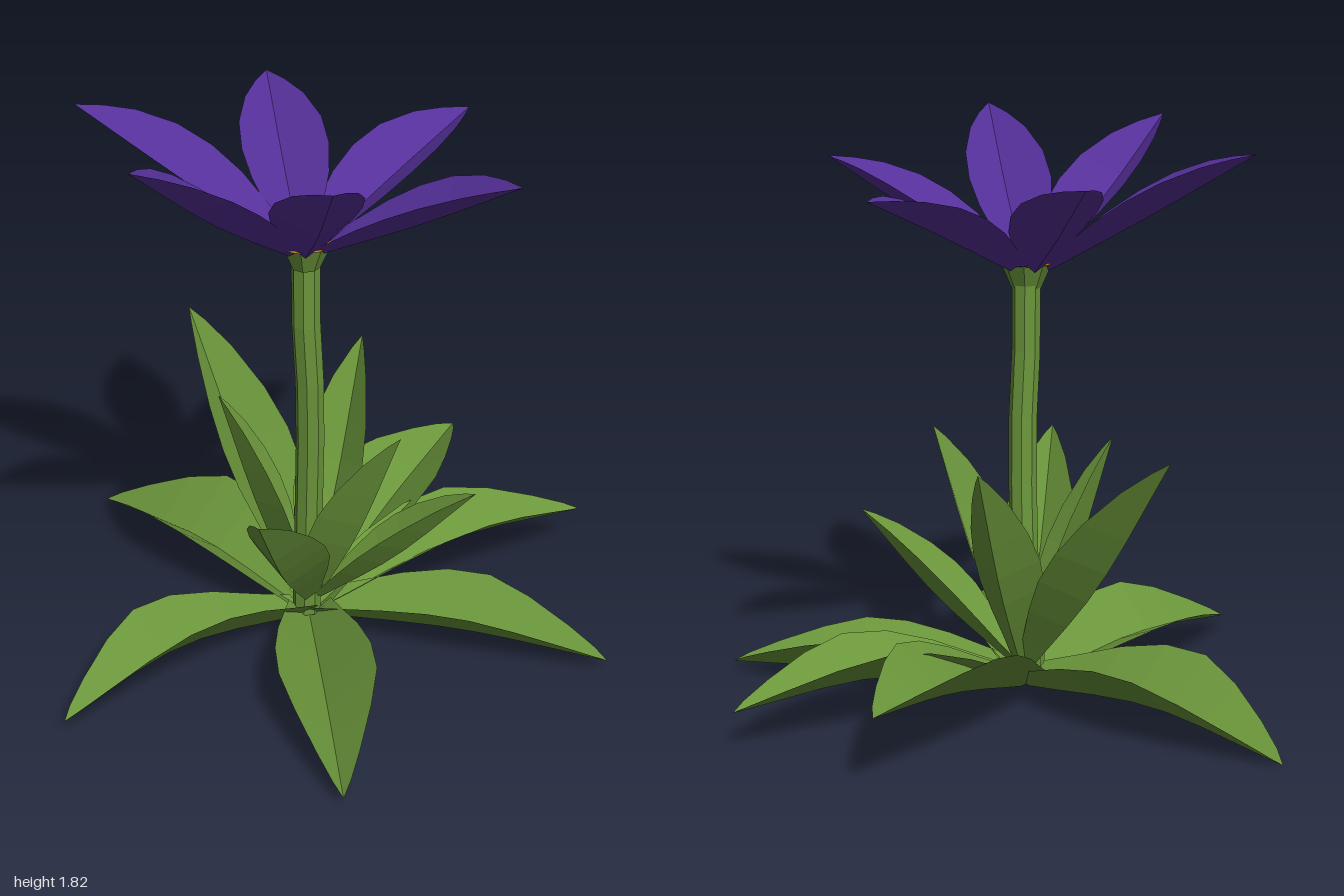
import * as THREE from 'three';

const green = new THREE.MeshStandardMaterial({ color: 0x6b963b, flatShading: true, side: THREE.DoubleSide });
const purple = new THREE.MeshStandardMaterial({ color: 0x55309a, flatShading: true, side: THREE.DoubleSide });
const orange = new THREE.MeshStandardMaterial({ color: 0xd08010, flatShading: true });

// Outline rows: [position along the blade, share of the half width]
const LOWER = [[0, 0.45], [0.12, 0.62], [0.27, 0.84], [0.42, 0.99], [0.56, 1], [0.7, 0.77], [0.85, 0.44], [0.95, 0.18], [1, 0]];
const UPPER = [[0, 0.35], [0.12, 0.5], [0.27, 0.78], [0.42, 0.98], [0.56, 1], [0.7, 0.85], [0.85, 0.52], [0.95, 0.2], [1, 0]];
const PETAL = [[0, 0.42], [0.15, 0.6], [0.32, 0.88], [0.48, 1], [0.64, 0.95], [0.8, 0.68], [0.91, 0.35], [1, 0]];

// A blade folded along its midrib. midY is the midrib height halfway out,
// bow its sideways shift there, roll a turn about the midrib
function blade(name, { base, tip, midY, bow = 0, roll = 0, halfWidth, fold, rows, material }) {
  const a = new THREE.Vector3(...base), c = new THREE.Vector3(...tip);
  const dir = c.clone().sub(a).setY(0).normalize();
  const across = new THREE.Vector3(0, 1, 0).cross(dir);
  const mid = a.clone().lerp(c, 0.5).setY(midY).addScaledVector(across, bow);
  const curve = new THREE.CatmullRomCurve3([a, mid, c]);
  const positions = [], index = [];
  rows.forEach(([t, share], i) => {
    const p = curve.getPoint(t), tangent = curve.getTangent(t);
    const side = across.clone().applyAxisAngle(tangent, roll);
    const normal = tangent.clone().cross(side).normalize();
    for (const s of [-1, 0, 1]) {
      const v = p.clone().addScaledVector(side, s * share * halfWidth)
        .addScaledVector(normal, Math.abs(s) * share * halfWidth * fold);
      positions.push(v.x, v.y, v.z);
    }
    if (i === 0) return;
    for (let j = 0; j < 2; j++) {
      const k = (i - 1) * 3 + j;
      index.push(k, k + 1, k + 4, k, k + 4, k + 3);
    }
  });
  const geometry = new THREE.BufferGeometry();
  geometry.setAttribute('position', new THREE.Float32BufferAttribute(positions, 3));
  geometry.setIndex(index);
  geometry.computeVertexNormals();
  const mesh = new THREE.Mesh(geometry, material);
  mesh.name = name;
  return mesh;
}

// Point a short way out from a centre toward a tip
function rootToward([x, y, z], tip, r) {
  const d = Math.hypot(tip[0] - x, tip[2] - z);
  return [x + (tip[0] - x) / d * r, y, z + (tip[2] - z) / d * r];
}

export function createModel() {
  const group = new THREE.Group();
  const add = (name, geometry, material, x, y, z) => {
    const mesh = new THREE.Mesh(geometry, material);
    mesh.name = name;
    mesh.position.set(x, y, z);
    group.add(mesh);
  };

  // Spreading lower leaves
  const lower = [
    { tip: [-0.18, 0.02, -0.95], midY: 0.085, halfWidth: 0.18, fold: 0.8 },
    { tip: [0.89, 0.25, -0.36], midY: 0.17, halfWidth: 0.17, fold: 0.8 },
    { tip: [1, 0.14, 0.2], midY: 0.16, halfWidth: 0.14, fold: 0.8 },
    { tip: [0.57, 0.05, 0.85], midY: 0.06, bow: 0.02, halfWidth: 0.14, fold: 0.95 },
    { tip: [-0.52, 0.05, 0.94], midY: 0.06, halfWidth: 0.15, fold: 0.95 },
    { tip: [-1, 0.06, 0.16], midY: 0.11, bow: -0.03, roll: 0.2, halfWidth: 0.155, fold: 0.7 },
  ];
  for (const leaf of lower) {
    const base = rootToward([-0.03, 0.04, 0.07], leaf.tip, 0.02);
    group.add(blade('lowerLeaf', { ...leaf, base, rows: LOWER, material: green }));
  }

  // Upright inner leaves: tip, half width
  const upper = [
    [[-0.055, 0.89, -0.58], 0.13],
    [[0.35, 0.84, -0.17], 0.11],
    [[0.29, 0.59, 0.51], 0.1],
    [[0.04, 0.84, 0.45], 0.11],
    [[-0.52, 0.75, 0.51], 0.12],
    [[-0.27, 0.85, -0.08], 0.1],
  ];
  for (const [tip, halfWidth] of upper) {
    const base = rootToward([-0.03, 0.1, 0.07], tip, 0.03);
    const midY = 0.1 + (tip[1] - 0.1) * 0.43;
    group.add(blade('upperLeaf', { base, tip, midY, halfWidth, fold: 0.9, rows: UPPER, material: green }));
  }

  // Gently bent stem and the flared cup under the flower
  const stemPath = new THREE.CatmullRomCurve3([
    [-0.04, 0.06, 0.07], [-0.045, 0.5, 0.09], [-0.055, 0.85, 0.11], [-0.075, 1.15, 0.115], [-0.075, 1.34, 0.115],
  ].map((p) => new THREE.Vector3(...p)));
  add('stem', new THREE.TubeGeometry(stemPath, 6, 0.045, 8), green, 0, 0, 0);
  add('flowerCup', new THREE.CylinderGeometry(0.08, 0.045, 0.08, 8), green, -0.08, 1.36, 0.12);

  // Flower centre
  add('flowerCentre', new THREE.ConeGeometry(0.09, 0.03, 10), orange, -0.09, 1.42, 0.12);

  // Petals: tip, midrib height halfway
  const petals = [
    [[-0.53, 1.76, -0.44], 1.56],
    [[0.17, 1.71, -0.45], 1.53],
    [[0.58, 1.66, 0.06], 1.52],
    [[0.25, 1.71, 0.72], 1.53],
    [[-0.39, 1.84, 0.69], 1.58],
    [[-0.74, 1.82, 0.21], 1.57],
  ];
  for (const [tip, midY] of petals) {
    const base = rootToward([-0.09, 1.37, 0.12], tip, 0.05);
    group.add(blade('petal', { base, tip, midY, halfWidth: 0.135, fold: 0.6, rows: PETAL, material: purple }));
  }
  return group;
}
